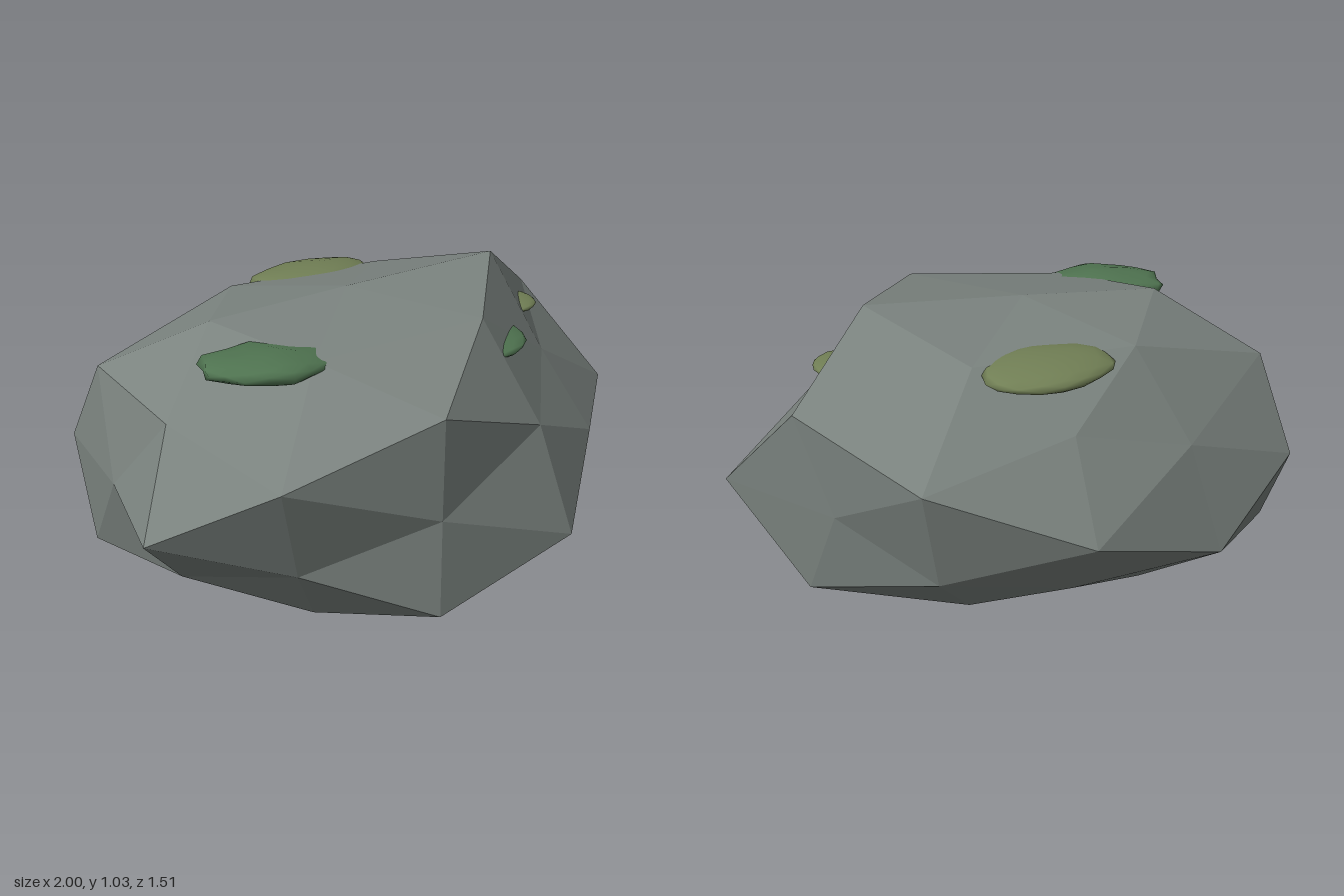
import * as THREE from 'three';
import { mergeVertices } from 'three/addons/utils/BufferGeometryUtils.js';

const CENTRE = new THREE.Vector3(-0.09, 0.435, 0.055);
const SCALE = new THREE.Vector3(1, 0.645, 0.765);

// Radius of each rock corner, grouped by number of zero coordinates and longest axis.
// Order within a group: sign bits x, y, z (plus first), z changing fastest.
const RADII = {
  '2x': { 0: 1.09, 4: 0.87 },
  '2y': { 0: 0.87, 2: 0.9 },
  '2z': { 0: 0.915, 1: 1.06 },
  '1x': { 0: 0.93, 1: 0.91, 4: 1.065, 5: 1.045 },
  '1y': { 0: 1.085, 2: 1.0, 4: 0.955, 6: 0.875 },
  '1z': { 0: 1.08, 1: 0.88, 2: 1.08, 3: 0.89 },
  '0x': [0.84, 1.08, 0.95, 1.06, 0.915, 1.02, 0.89, 1.09],
  '0y': [1.01, 0.93, 1.0, 1.03, 0.91, 0.93, 1.05, 1.05],
  '0z': [0.9, 1.09, 1.07, 0.95, 1.08, 0.87, 0.88, 1.05],
};

function cornerRadius(d) {
  const c = d.toArray();
  const size = c.map(Math.abs);
  const zeros = size.filter((s) => s < 0.01).length;
  const axis = 'xyz'[size.indexOf(Math.max(...size))];
  const bits = c.reduce((b, v) => b * 2 + (v < -0.01 ? 1 : 0), 0);
  return RADII[zeros + axis][bits];
}

// Faceted boulder with a flattened base
function makeRock() {
  const geometry = new THREE.IcosahedronGeometry(1, 1);
  const pos = geometry.attributes.position;
  const v = new THREE.Vector3();
  for (let i = 0; i < pos.count; i++) {
    v.fromBufferAttribute(pos, i);
    v.multiplyScalar(cornerRadius(v)).multiply(SCALE).add(CENTRE);
    pos.setXYZ(i, v.x, Math.max(0, v.y), v.z);
  }
  geometry.computeVertexNormals();
  const rock = new THREE.Mesh(geometry, new THREE.MeshStandardMaterial({ color: 0x7a827e, flatShading: true }));
  rock.name = 'rock';
  return rock;
}

// Flat, slightly lumpy cushion of moss
function makeMoss(name, color, centre, radii, turn, tilt, lump) {
  let geometry = new THREE.IcosahedronGeometry(1, 2);
  geometry.deleteAttribute('uv');
  geometry.deleteAttribute('normal');
  geometry = mergeVertices(geometry, 1e-3);
  const pos = geometry.attributes.position;
  const v = new THREE.Vector3();
  for (let i = 0; i < pos.count; i++) {
    v.fromBufferAttribute(pos, i);
    const wave = Math.sin(v.x * 5 + v.z * 3 + 1) * Math.cos(v.z * 5 - v.x * 2);
    v.multiplyScalar(1 + lump * wave);
    pos.setXYZ(i, v.x * radii[0], v.y * radii[1], v.z * radii[2]);
  }
  geometry.computeVertexNormals();
  const moss = new THREE.Mesh(geometry, new THREE.MeshStandardMaterial({ color }));
  moss.name = name;
  moss.position.set(...centre);
  moss.rotation.set(tilt, turn, 0);
  return moss;
}

export function createModel() {
  const model = new THREE.Group();
  model.name = 'mossyRock';
  const green = 0x4f7350;
  const olive = 0x717f55;
  model.add(
    makeRock(),
    makeMoss('frontMoss', green, [-0.5, 0.893, 0.315], [0.21, 0.045, 0.135], -0.3, 0, 0.13),
    makeMoss('backMoss', olive, [-0.055, 0.9, -0.338], [0.23, 0.04, 0.14], 0.08, -0.1, 0.05),
    // Two cushions mostly sunk into the left slope
    makeMoss('sideMossLarge', green, [0.254, 0.835, 0.313], [0.19, 0.028, 0.19], 0, 0, 0.04),
    makeMoss('sideMossSmall', olive, [0.56, 0.822, 0.055], [0.105, 0.02, 0.105], 0, 0, 0.04)
  );
  return model;
}
